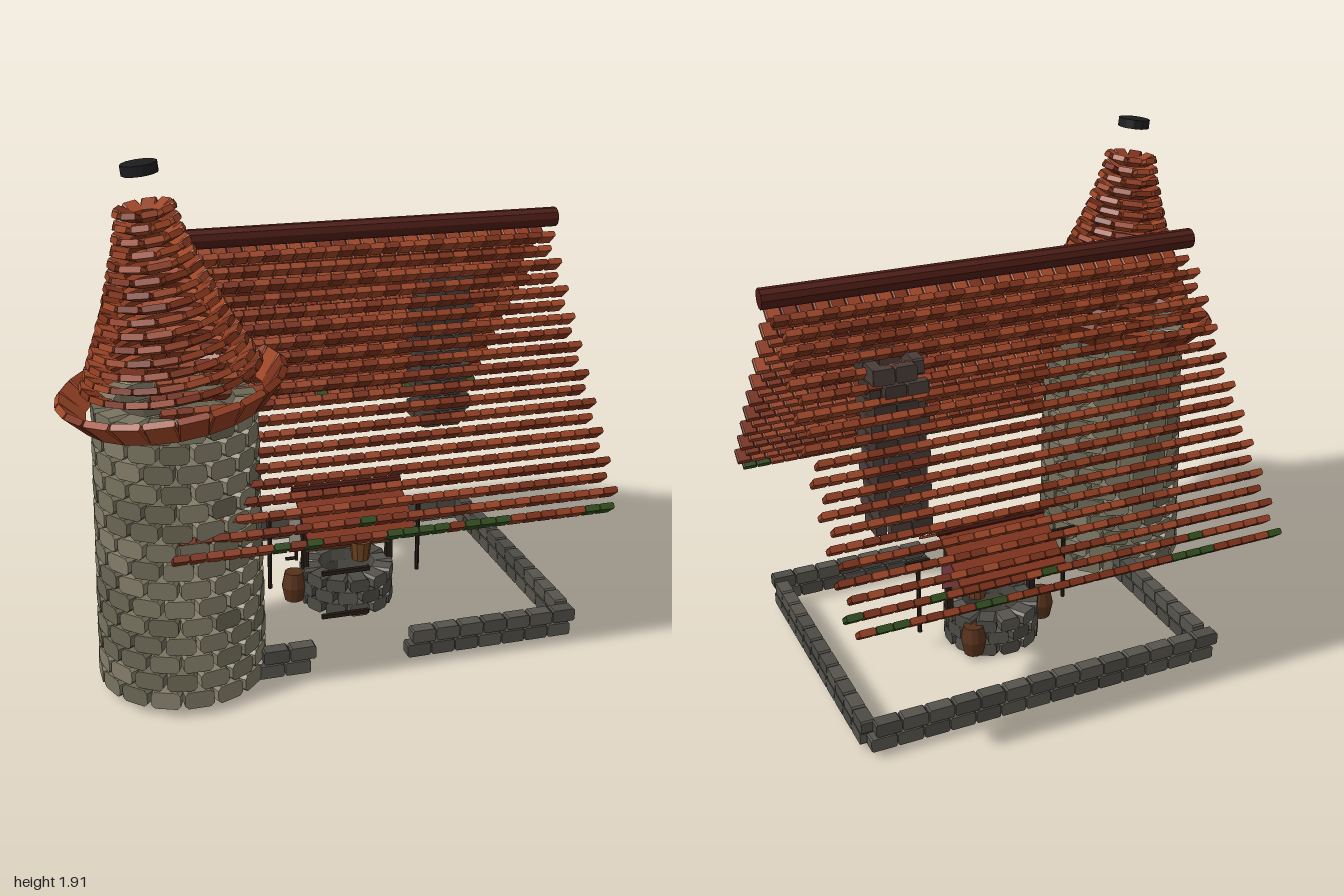
import * as THREE from 'three';
import { mergeGeometries } from 'three/addons/utils/BufferGeometryUtils.js';

const V = (x, y, z) => new THREE.Vector3(x, y, z);
const at = (x, y, z, rx = 0, ry = 0, rz = 0) => new THREE.Matrix4().compose(
  V(x, y, z), new THREE.Quaternion().setFromEuler(new THREE.Euler(rx, ry, rz, 'YXZ')), V(1, 1, 1));

// repeatable noise
let seed = 7;
const rnd = () => (seed = (seed * 16807) % 2147483647) / 2147483647;

// block with its front corners cut, depth along z
function block(w, h, d, c = Math.min(w, h) * 0.2) {
  const x = w / 2, y = h / 2;
  const s = new THREE.Shape([[x - c, -y], [x, c - y], [x, y - c], [x - c, y], [c - x, y], [-x, y - c], [-x, c - y], [c - x, -y]]
    .map(p => new THREE.Vector2(...p)));
  return new THREE.ExtrudeGeometry(s, { depth: d, bevelEnabled: false }).translate(0, 0, -d / 2);
}

const TILES = [0x8f3c20, 0x7a3019, 0x9c4526];
const EAVES = [0x8f3c20, 0x2f4a1c, 0x7a3019];
const STONES = [0x78735f, 0x6a6654, 0x827c68];
const GREYS = [0x4c4a44, 0x56534c];
const SOOT = [0x40352f, 0x4a3d38];
const WOOD = 0x6b4020, DARK = 0x241a16;

export function createModel() {
  const root = new THREE.Group();
  const mat = color => new THREE.MeshStandardMaterial({ color, flatShading: true, side: THREE.DoubleSide });
  const add = (name, geo, color, m, parent = root) => {
    const mesh = new THREE.Mesh(m ? geo.applyMatrix4(m) : geo, mat(color));
    mesh.name = name;
    parent.add(mesh);
    return mesh;
  };

  // gathers many pieces into one mesh per shade
  function pile(name, shades) {
    const lists = shades.map(() => []);
    return {
      put(geo, m, k = Math.floor(rnd() * shades.length)) { lists[k].push(geo.applyMatrix4(m)); },
      done() {
        const g = new THREE.Group();
        g.name = name;
        lists.forEach((l, i) => l.length && add(name + 'Shade' + (i + 1), mergeGeometries(l), shades[i], null, g));
        root.add(g);
      },
    };
  }

  // ring of blocks about the y axis of the base matrix
  function ring(p, base, n, r, h, d, elev = 0, phase = 0) {
    for (let i = 0; i < n; i++) {
      const a = (i + phase) / n * Math.PI * 2;
      p.put(block(2 * Math.PI * r / n * 1.02, h, d), base.clone().multiply(at(Math.sin(a) * r, 0, Math.cos(a) * r, -elev, a)));
    }
  }

  // straight course of blocks between two ground points
  function course(p, x0, z0, x1, z1, y, h, d, pitch, shift = 0) {
    const len = Math.hypot(x1 - x0, z1 - z0), n = Math.max(1, Math.round(len / pitch));
    const ry = Math.atan2(z0 - z1, x1 - x0);
    for (let i = 0; i < n; i++) {
      const t = (i + 0.5 + shift) / n;
      p.put(block(len / n * 0.96, h, d, 0.006), at(x0 + (x1 - x0) * t, y, z0 + (z1 - z0) * t, 0, ry));
    }
  }

  // tower drum
  const tower = pile('towerStones', STONES);
  for (let i = 0; i < 15; i++)
    ring(tower, at(-0.6, 0.065 + i * 0.07, 0.377), 16, 0.262 - i * 0.0012, 0.064, 0.08, 0, (i % 2) / 2);
  tower.done();

  // leaning tower roof: flared eave ring and shrinking tile rings
  const spire = pile('towerRoofTiles', TILES);
  ring(spire, at(-0.605, 1.1, 0.38, 0, 0, 0.14), 22, 0.355, 0.025, 0.115, 0.85);
  for (let i = 0; i < 15; i++) {
    const t = i / 14, r = 0.075 + 0.21 * (1 - t) ** 1.3;
    ring(spire, at(-0.61 - 0.075 * t, 1.17 + 0.57 * t, 0.385 + 0.035 * t, 0, 0, 0.14),
      Math.max(9, Math.round(r * 80)), r, 0.022, 0.06, 0.45, (i % 2) / 2);
  }
  spire.done();
  add('towerCap', new THREE.CylinderGeometry(0.062, 0.062, 0.035, 12), 0x1c1c1e, at(-0.7, 1.885, 0.43, 0, 0, 0.12));

  // main roof: rows of tiles set square to each slope
  const roof = pile('roofTiles', TILES), eaves = pile('eaveTiles', EAVES);
  const rows = 20, cols = 28, pitch = 1.62 / cols;
  for (const s of [1, -1])
    for (let j = 0; j < rows; j++) {
      const t = j / (rows - 1);
      const y = 0.605 + 0.855 * t, z = -0.037 + s * (0.712 - 0.665 * t);
      for (let i = 0; i < cols; i++) {
        const x = -0.68 + (i + 0.5 + (j % 2) / 2) * pitch;
        const mossy = j === 0 || (j === 1 && rnd() < 0.3);
        (mossy ? eaves : roof).put(block(pitch * 0.96, 0.024, 0.058), at(x, y, z, s > 0 ? -0.66 : 0.66 - Math.PI));
      }
    }
  roof.done();
  eaves.done();
  add('ridgeBeam', new THREE.CylinderGeometry(0.038, 0.038, 1.69, 10), 0x4a1a14, at(0.15, 1.53, -0.035, 0, 0, Math.PI / 2));

  // hollow chimney
  const chimney = pile('chimneyBricks', SOOT);
  for (let i = 0; i < 10; i++) {
    const y = 0.7 + i * 0.0655, o = i % 2 ? 0.04 : 0;
    for (const z of [-0.131, -0.296]) course(chimney, 0.5 + o, z, 0.7 - 0.04 + o, z, y, 0.058, 0.04, 0.08);
    for (const x of [0.52, 0.68]) {
      const b = x < 0.6 ? !o : !!o;
      course(chimney, x, b ? -0.111 : -0.151, x, b ? -0.316 : -0.276, y, 0.058, 0.04, 0.1);
    }
  }
  chimney.done();

  // low foundation wall with a gateway in front
  const wall = pile('foundationWall', GREYS);
  const runs = [[0.21, 0.53, 0.87, 0.53], [-0.36, 0.53, -0.16, 0.53], [0.865, 0.5, 0.865, -0.56],
    [0.87, -0.59, -0.52, -0.59], [-0.5, -0.56, -0.5, 0.12]];
  for (const r of runs)
    for (let k = 0; k < 2; k++) course(wall, ...r, 0.056 + k * 0.056, 0.05, 0.05, 0.1, k * 0.2);
  wall.done();

  // gate rails
  for (const y of [0.21, 0.385])
    add('gateRail', new THREE.BoxGeometry(0.18, 0.015, 0.015), DARK, at(-0.01, y, 0.48));

  // well ring
  const well = pile('wellStones', GREYS);
  for (let i = 0; i < 3; i++) ring(well, at(0.155, 0.03 + i * 0.052, -0.035), 12, 0.148, 0.052, 0.075, 0, (i % 2) / 2);
  for (let i = 0; i < 9; i++) {
    const a = i * 0.7;
    well.put(new THREE.DodecahedronGeometry(0.025), at(0.155 + 0.16 * Math.sin(a), 0.025, -0.035 + 0.16 * Math.cos(a), a, a));
  }
  well.done();

  // well frame, windlass and crank
  for (const x of [-0.02, 0.335])
    add('wellPost', new THREE.BoxGeometry(0.025, 0.34, 0.03), DARK, at(x, 0.32, -0.035));
  add('wellCrossbeam', new THREE.BoxGeometry(0.38, 0.022, 0.025), DARK, at(0.155, 0.345, -0.035));
  add('windlass', new THREE.CylinderGeometry(0.025, 0.025, 0.35, 8), WOOD, at(0.155, 0.245, -0.035, 0, 0, Math.PI / 2));
  add('crankArm', new THREE.BoxGeometry(0.012, 0.07, 0.012), DARK, at(-0.055, 0.225, -0.035));
  add('crankHandle', new THREE.CylinderGeometry(0.007, 0.007, 0.05, 6), DARK, at(-0.075, 0.2, -0.035, 0, 0, Math.PI / 2));
  add('bucketRope', new THREE.CylinderGeometry(0.005, 0.005, 0.12, 5), DARK, at(0.145, 0.29, -0.035));
  add('bucket', new THREE.CylinderGeometry(0.045, 0.036, 0.08, 10), WOOD, at(0.21, 0.21, -0.02));

  // well roof
  for (const s of [1, -1])
    add('wellRoofPanel', new THREE.BoxGeometry(0.44, 0.01, 0.245), 0x7d3119, at(0.152, 0.43, -0.035 + s * 0.105, s * 0.52));
  add('wellRidge', new THREE.CylinderGeometry(0.016, 0.016, 0.45, 8), 0x4a1a14, at(0.152, 0.496, -0.035, 0, 0, Math.PI / 2));

  // barrels beside the well
  const profile = [[0, -0.06], [0.038, -0.06], [0.05, 0], [0.038, 0.06], [0, 0.06]].map(p => new THREE.Vector2(...p));
  for (const [x, z] of [[-0.065, -0.035], [0.29, -0.17]])
    add('barrel', new THREE.LatheGeometry(profile, 12), 0x55301a, at(x, 0.08, z));

  // washing line with three cloths
  for (const x of [-0.165, 0.46]) {
    add('linePole', new THREE.CylinderGeometry(0.009, 0.009, 0.31, 6), DARK, at(x, 0.235, -0.035));
    add('linePoleArm', new THREE.BoxGeometry(0.1, 0.014, 0.014), DARK, at(x, 0.388, -0.035));
  }
  const sag = new THREE.QuadraticBezierCurve3(V(-0.165, 0.385, -0.035), V(0.15, 0.33, -0.035), V(0.46, 0.385, -0.035));
  add('washingLine', new THREE.TubeGeometry(sag, 16, 0.002, 4), 0x5a5248);
  for (const [x, y, w, h, c] of [[-0.035, 0.29, 0.09, 0.14, 0xa8a294], [0.145, 0.295, 0.085, 0.11, 0x34557f], [0.315, 0.31, 0.11, 0.1, 0x9a4a55]])
    add('hangingCloth', new THREE.BoxGeometry(w, h, 0.006), c, at(x, y, -0.055));

  return root;
}
